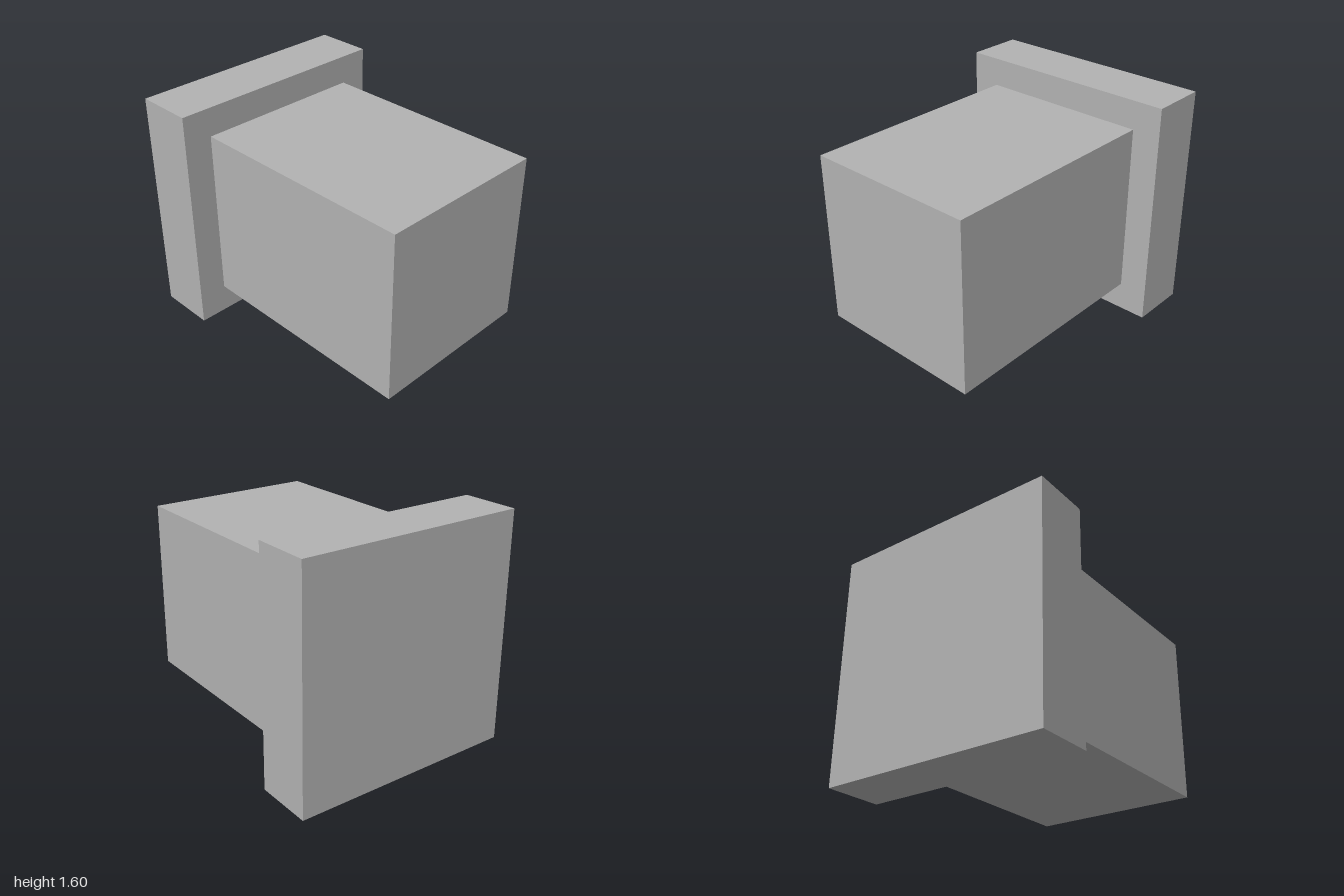
import * as THREE from 'three';

export function createModel() {
  const model = new THREE.Group();
  model.name = 'flangedBlock';

  const grey = new THREE.MeshStandardMaterial({ color: 0xb2b2b2 });
  grey.name = 'plain grey';

  const addBox = (name, width, height, depth, z) => {
    const mesh = new THREE.Mesh(new THREE.BoxGeometry(width, height, depth), grey);
    mesh.name = name;
    mesh.position.set(0, 0.8, z);
    model.add(mesh);
  };

  // Wide square plate at the back
  addBox('backPlate', 1.6, 1.6, 0.4, -0.8);
  // Square block reaching forward from the plate
  addBox('frontBlock', 1.2, 1.2, 1.6, 0.2);

  return model;
}
